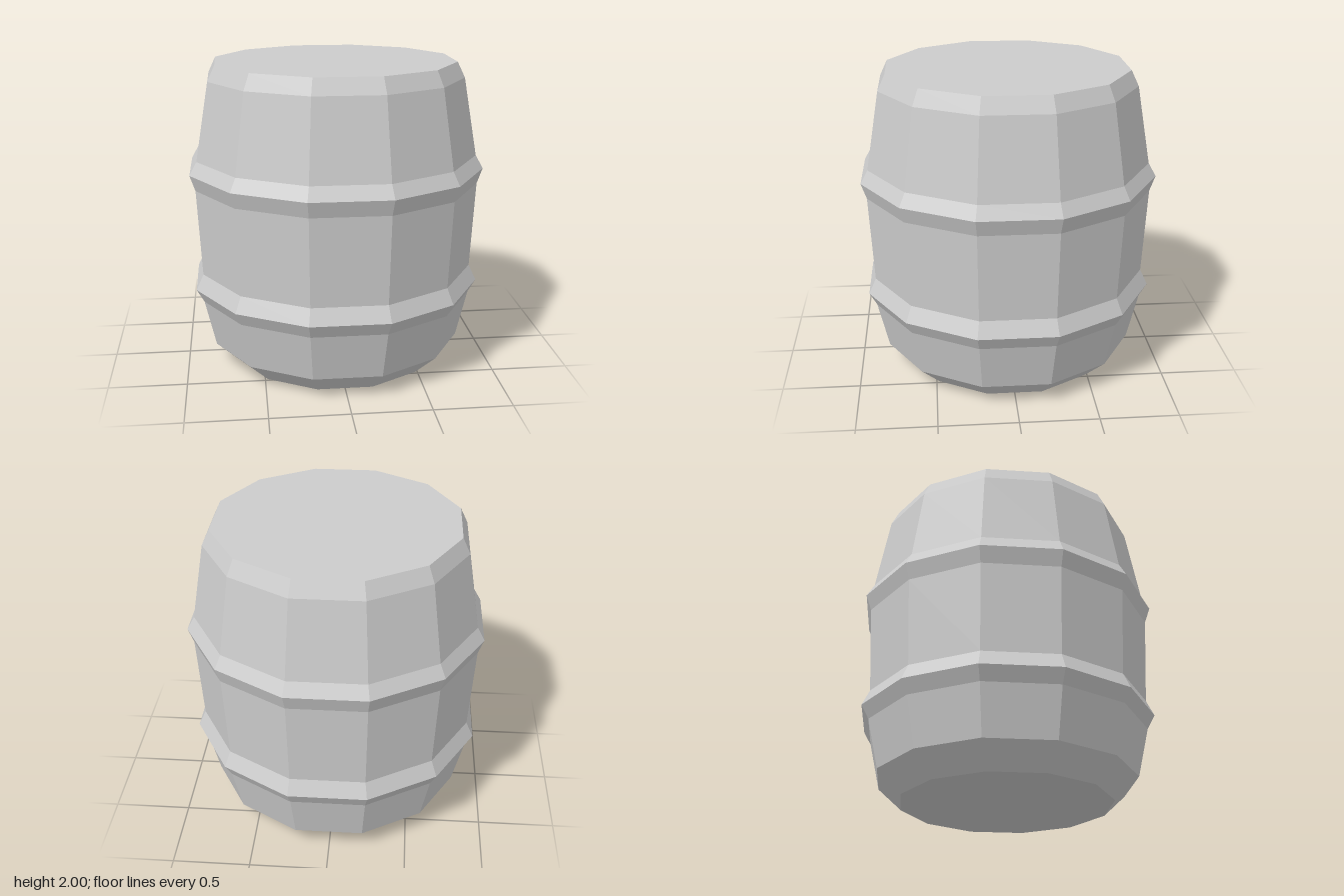
import * as THREE from 'three';

const SIDES = 12;
const HALF = Math.PI / SIDES; // turns a flat facet to the front

export function createModel() {
  const barrel = new THREE.Group();
  barrel.name = 'barrel';
  const grey = new THREE.MeshStandardMaterial({ color: 0xcccccc, flatShading: true });
  grey.name = 'plain grey';

  const add = (name, geometry) => {
    const mesh = new THREE.Mesh(geometry, grey);
    mesh.name = name;
    barrel.add(mesh);
    return mesh;
  };
  // profile points are [distance to facet centre, height]
  const radius = (flat) => flat / Math.cos(HALF);
  const ring = (name, profile) => add(name, new THREE.LatheGeometry(
    profile.map(([flat, y]) => new THREE.Vector2(radius(flat), y)), SIDES, HALF));
  const lid = (name, flat, y, tilt) => {
    const geometry = new THREE.CircleGeometry(radius(flat), SIDES, HALF);
    geometry.rotateX(tilt);
    geometry.translate(0, y, 0);
    add(name, geometry);
  };

  // staves and bevelled rims
  ring('lowerStaves', [[0.66, 0], [0.81, 0.145], [0.88, 0.457]]);
  ring('middleStaves', [[0.88, 0.647], [0.908, 1.213]]);
  ring('upperStaves', [[0.895, 1.4], [0.81, 1.9], [0.763, 2]]);

  // ridged hoops
  ring('lowerHoop', [[0.88, 0.457], [0.927, 0.545], [0.88, 0.647]]);
  ring('upperHoop', [[0.908, 1.213], [0.942, 1.315], [0.895, 1.4]]);

  // closed ends
  lid('topLid', 0.763, 2, -Math.PI / 2);
  lid('bottomLid', 0.66, 0, Math.PI / 2);
  return barrel;
}
